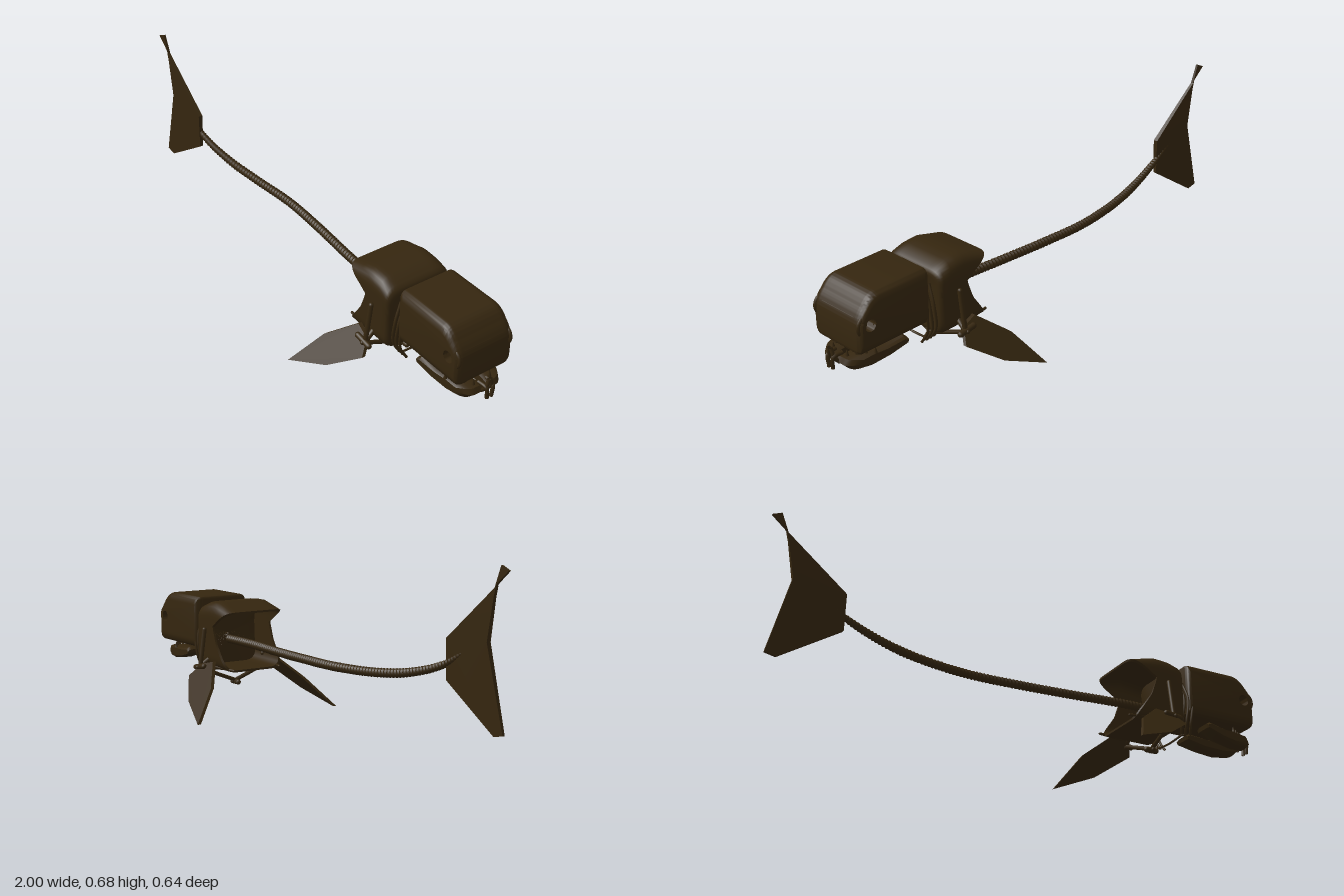
import * as THREE from 'three';
import { toCreasedNormals } from 'three/addons/utils/BufferGeometryUtils.js';

const bronze = new THREE.MeshStandardMaterial({ color: 0x35260f, side: THREE.DoubleSide });
bronze.name = 'darkBronze';
const V = (x, y, z) => new THREE.Vector3(x, y, z);
const lerp = THREE.MathUtils.lerp;

function add(parent, name, geometry) {
  const mesh = new THREE.Mesh(geometry, bronze);
  mesh.name = name;
  parent.add(mesh);
  return mesh;
}

const outline = (points) => new THREE.Shape(points.map(([x, y]) => new THREE.Vector2(x, y)));

// Extrudes an outline along z, centred on z = 0
function slab(shape, depth, steps = 1) {
  return new THREE.ExtrudeGeometry(shape, { depth, steps, bevelEnabled: false, curveSegments: 16 })
    .translate(0, 0, -depth / 2);
}

// Moves every vertex by a rule, then restores clean normals
function bend(geometry, rule) {
  const p = geometry.attributes.position, v = V(0, 0, 0);
  for (let i = 0; i < p.count; i++) {
    rule(v.fromBufferAttribute(p, i));
    p.setXYZ(i, v.x, v.y, v.z);
  }
  return toCreasedNormals(geometry, 0.6);
}

// Tapered rod with rounded ends
function rod(parent, name, a, b, r) {
  const mesh = add(parent, name, new THREE.CapsuleGeometry(r, a.distanceTo(b), 4, 10));
  mesh.position.copy(a).lerp(b, 0.5);
  mesh.quaternion.setFromUnitVectors(V(0, 1, 0), b.clone().sub(a).normalize());
}

function tube(parent, name, points, r) {
  return add(parent, name, new THREE.TubeGeometry(new THREE.CatmullRomCurve3(points), 20, r, 8));
}

// Piecewise linear lookup in [key, value] pairs with rising keys
function ramp(table, k) {
  for (let i = 1; i < table.length; i++) {
    const [k0, v0] = table[i - 1], [k1, v1] = table[i];
    if (k <= k1) return lerp(v0, v1, THREE.MathUtils.clamp((k - k0) / (k1 - k0), 0, 1));
  }
  return table[table.length - 1][1];
}

// Skull: side outline with an eye tunnel, rounded towards both cheeks
function makeHead(group) {
  const eye = [0.912, 0.337], half = 0.12, R = 0.03;
  const shape = new THREE.Shape();
  shape.moveTo(0.655, 0.245).quadraticCurveTo(0.655, 0.235, 0.665, 0.235);
  shape.lineTo(0.945, 0.235).quadraticCurveTo(0.957, 0.235, 0.957, 0.25);
  shape.lineTo(0.957, 0.345).quadraticCurveTo(0.95, 0.375, 0.925, 0.402);
  shape.quadraticCurveTo(0.9, 0.44, 0.865, 0.44);
  shape.lineTo(0.665, 0.44).quadraticCurveTo(0.655, 0.44, 0.655, 0.43);
  const hole = new THREE.Path();
  hole.absarc(eye[0], eye[1], 0.022, 0, Math.PI * 2, true);
  shape.holes.push(hole);
  add(group, 'skull', bend(slab(shape, half * 2, 48), (v) => {
    if (Math.hypot(v.x - eye[0], v.y - eye[1]) < 0.024) return;
    const d = Math.max(0, Math.abs(v.z) - (half - R));
    const drop = R - Math.sqrt(Math.max(0, R * R - d * d));
    v.x -= (v.x - 0.81) / 0.15 * drop * 0.4;
    v.y -= (v.y - 0.337) / 0.1025 * drop;
  }));
  for (const s of [-1, 1]) {
    add(group, 'eyeRim', new THREE.TorusGeometry(0.036, 0.007, 8, 28)).position.set(eye[0] + 0.008, eye[1], s * 0.108);
  }
  rod(group, 'browRidge', V(0.944, 0.365, -0.08), V(0.944, 0.365, 0.08), 0.006);
}

// Lower jaw: two halves converging at the chin, with front teeth
function makeJaw(group) {
  const shape = outline([[0.745, 0.215], [0.75, 0.2], [0.82, 0.172], [0.9, 0.16], [0.955, 0.165],
    [0.975, 0.185], [0.965, 0.205], [0.9, 0.213], [0.83, 0.212], [0.76, 0.225]]);
  for (const s of [-1, 1]) {
    add(group, 'jawHalf', bend(slab(shape, 0.075, 8), (v) => {
      const edge = Math.abs(v.z) / 0.0375;
      v.y = lerp(v.y, 0.193, 0.35 * edge ** 4);
      v.x -= Math.max(0, v.x - 0.85) * 0.35 * (s * v.z > 0 ? edge * edge : 0);
      v.z += s * lerp(0.07, 0.045, (v.x - 0.745) / 0.23);
    }));
    tube(group, 'frontTooth', [V(0.965, 0.18, s * 0.012), V(0.985, 0.205, s * 0.012), V(0.99, 0.24, s * 0.004)], 0.007);
    tube(group, 'chinHook', [V(0.955, 0.215, s * 0.018), V(0.99, 0.21, s * 0.014), V(0.992, 0.165, s * 0.009)], 0.007);
    for (let i = 0; i < 4; i++) {
      const tooth = add(group, 'sideTooth', new THREE.ConeGeometry(0.007, 0.025, 8));
      tooth.position.set(0.95 - i * 0.025, 0.22, s * (0.035 + i * 0.018));
    }
  }
}

// Hollow chest shell: rounded section swept to a notched rear edge
function makeBody(group) {
  const w = 0.135, h = 0.132, r = 0.055, cy = 0.298;
  const section = new THREE.Shape();
  section.moveTo(-w + r, -h).lineTo(w - r, -h).quadraticCurveTo(w, -h, w, -h + r);
  section.lineTo(w, h - r).quadraticCurveTo(w, h, w - r, h).lineTo(-w + r, h);
  section.quadraticCurveTo(-w, h, -w, h - r).lineTo(-w, -h + r).quadraticCurveTo(-w, -h, -w + r, -h);
  const loop = section.getSpacedPoints(80);
  const rear = [[0.165, 0.41], [0.19, 0.42], [0.27, 0.475], [0.34, 0.5], [0.385, 0.44], [0.43, 0.39]];
  const crown = [[0.39, -0.025], [0.5, 0.006], [0.56, 0.003], [0.62, -0.02]];
  // Each row: distance from front to rear edge, scale of the section
  const rows = [[0.08, 0.01], [0, 0.82], [0, 0.9], [0.03, 0.97], [0.08, 1], [0.25, 1], [0.4, 1],
    [0.55, 1], [0.75, 1], [1, 1], [1, 0.94], [0.6, 0.93], [0.12, 0.93], [0.12, 0.01]];
  const pos = [], index = [], n = loop.length;
  rows.forEach(([t, k], j) => loop.forEach((p, i) => {
    const x = lerp(0.62, ramp(rear, cy + p.y), t);
    const up = Math.max(0, p.y / h);
    pos.push(x, cy + p.y * k + ramp(crown, x) * up * up, p.x * k);
    if (j && i) {
      const a = j * n + i, b = a - n;
      index.push(b - 1, b, a, b - 1, a, a - 1);
    }
  }));
  const geometry = new THREE.BufferGeometry();
  geometry.setAttribute('position', new THREE.Float32BufferAttribute(pos, 3));
  geometry.setIndex(index);
  add(group, 'chestShell', toCreasedNormals(geometry, 0.7));

  // Gill ribs between chest and skull
  for (const s of [-1, 1]) for (const x of [0.629, 0.647, 0.667]) {
    tube(group, 'gillRib', [V(x, 0.365, s * 0.085), V(x + 0.005, 0.29, s * 0.112),
      V(x - 0.004, 0.2, s * 0.108), V(x + 0.004, 0.155, s * 0.085)], 0.005);
  }
  tube(group, 'throatRib', [V(0.64, 0.155, -0.085), V(0.63, 0.142, 0), V(0.64, 0.155, 0.085)], 0.004);
}

// Paddle fins with their hinged struts below the chest
function makePaddles(group) {
  const paddle = outline([[0.302, 0.005], [0.46, 0.064], [0.575, 0.142], [0.545, 0.19], [0.48, 0.205], [0.375, 0.122]]);
  for (const s of [-1, 1]) {
    add(group, 'paddleFin', bend(slab(paddle, 0.014), (v) => { v.z = s * (0.318 - 0.87 * v.y) + v.z; }));
    rod(group, 'shoulderStrut', V(0.545, 0.325, s * 0.145), V(0.545, 0.17, s * 0.167), 0.009);
    rod(group, 'keelStrut', V(0.545, 0.178, s * 0.178), V(0.552, 0.103, s * -0.012), 0.008);
    rod(group, 'hingePin', V(0.51, 0.185, s * 0.17), V(0.57, 0.175, s * 0.17), 0.011);
    rod(group, 'hingeLink', V(0.545, 0.18, s * 0.165), V(0.54, 0.208, s * 0.125), 0.01);
    rod(group, 'bellySpine', V(0.39, 0.177, s * 0.105), V(0.5, 0.18, s * 0.125), 0.005);
  }
  rod(group, 'keelPin', V(0.53, 0.102, 0), V(0.57, 0.102, 0), 0.011);
}

// Backbone of stacked vertebrae, swaying sideways and rising to the fluke
function makeTail(group) {
  const curve = new THREE.CatmullRomCurve3([
    V(0.6, 0.27, 0), V(0.42, 0.269, 0), V(0.2, 0.266, -0.014), V(0, 0.267, -0.03), V(-0.2, 0.269, -0.037),
    V(-0.4, 0.276, -0.016), V(-0.55, 0.295, 0.008), V(-0.7, 0.34, 0.03), V(-0.84, 0.42, 0.037)]);
  const count = 100, geometry = new THREE.CylinderGeometry(0.82, 0.82, 1, 12, 2);
  const bead = bend(geometry, (v) => { if (Math.abs(v.y) < 0.1) { v.x *= 1.22; v.z *= 1.22; } });
  for (let i = 0; i < count; i++) {
    const t = (i + 0.5) / count;
    const mesh = add(group, 'vertebra', bead);
    const r = ramp([[0, 0.018], [0.75, 0.017], [0.88, 0.014], [1, 0.005]], t);
    mesh.position.copy(curve.getPointAt(t));
    mesh.quaternion.setFromUnitVectors(V(0, 1, 0), curve.getTangentAt(t));
    mesh.scale.set(r, curve.getLength() / count * 1.05, r);
  }
  rod(group, 'neckBone', V(0.58, 0.27, 0), V(0.67, 0.27, 0), 0.012);

  // Fluke plates thin out towards their tips
  const fluke = outline([[-0.714, 0.43], [-0.944, 0.62], [-0.935, 0.585], [-0.91, 0.44], [-0.987, 0.152],
    [-0.945, 0.143], [-0.717, 0.29]]);
  const tip = outline([[-0.938, 0.615], [-0.965, 0.687], [-1, 0.672], [-0.95, 0.63]]);
  for (const [name, shape] of [['tailFluke', fluke], ['flukeTip', tip]]) {
    add(group, name, bend(slab(shape, 0.018), (v) => {
      v.z = 0.036 + v.z * (1 - 1.9 * Math.abs(v.y - 0.4));
    }));
  }
}

export function createModel() {
  const model = new THREE.Group();
  model.name = 'mechanicalFish';
  const parts = { head: makeHead, jaw: makeJaw, body: makeBody, paddles: makePaddles, tail: makeTail };
  for (const [name, build] of Object.entries(parts)) {
    const group = new THREE.Group();
    group.name = name;
    build(group);
    model.add(group);
  }
  return model;
}
